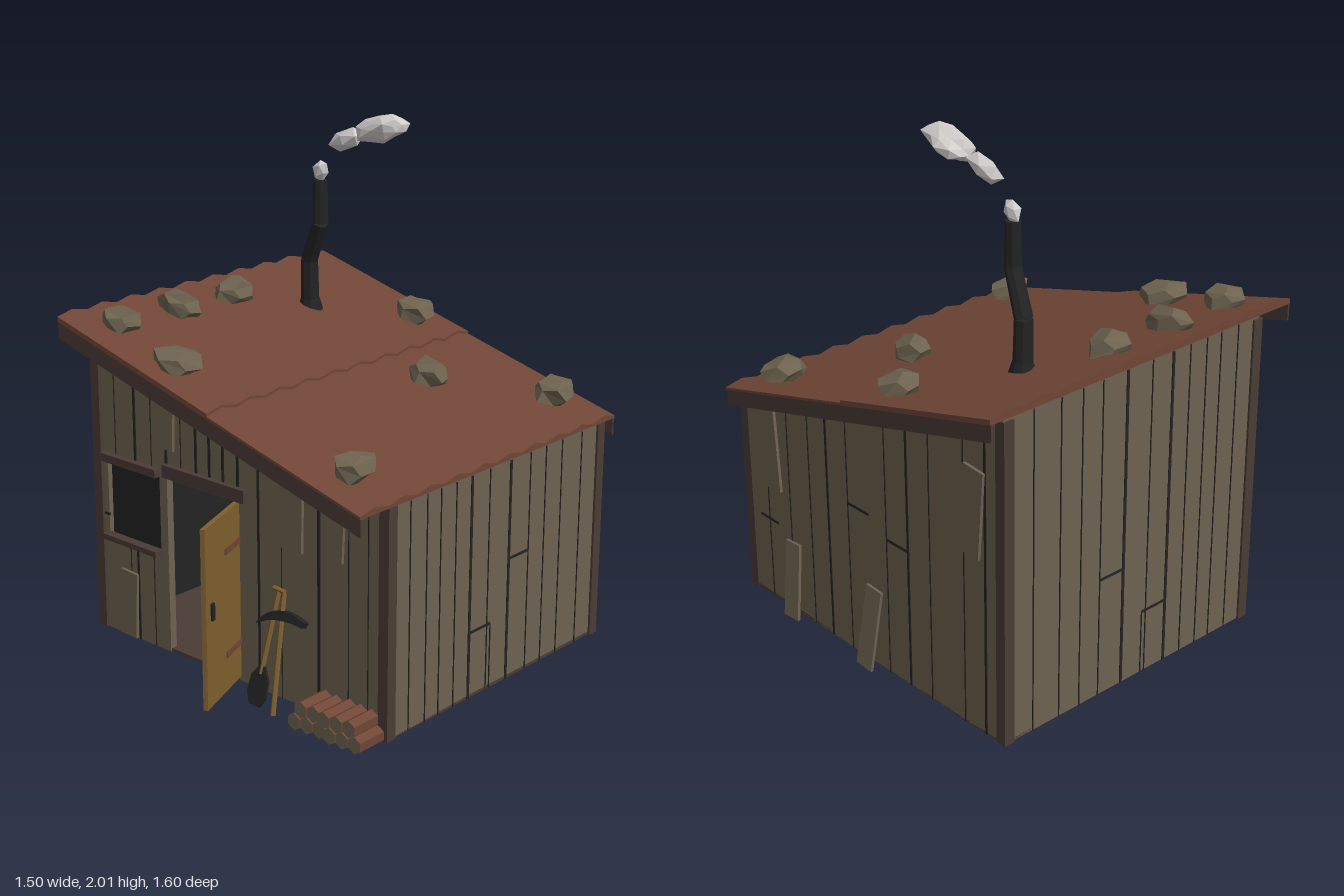
import * as THREE from 'three';

const mat = (name, color) => {
  const m = new THREE.MeshStandardMaterial({ color, flatShading: true });
  m.name = name;
  return m;
};
const SLOPE = 0.267;
const roofY = x => 1.066 - SLOPE * x; // underside of the roof

export function createModel() {
  const root = new THREE.Group();
  root.name = 'shack';
  const wood = mat('weathered wood', 0x6e6250);
  const trim = mat('dark trim', 0x4a3c36);
  const black = mat('soot black', 0x232324);
  const rust = mat('rusty red', 0x704636);
  const tan = mat('door wood', 0x80602f);
  const stone = mat('stone', 0x6c624e);
  const white = mat('smoke', 0xd0cecb);

  const add = (name, geo, m, parent = root, pos = [0, 0, 0], rot = [0, 0, 0]) => {
    const mesh = new THREE.Mesh(geo, m);
    mesh.name = name;
    mesh.position.set(...pos);
    mesh.rotation.set(...rot);
    parent.add(mesh);
    return mesh;
  };
  const box = (name, w, h, d, m, pos, parent, rot) =>
    add(name, new THREE.BoxGeometry(w, h, d), m, parent, pos, rot);
  const group = (name, pos, rot = [0, 0, 0]) => {
    const g = new THREE.Group();
    g.name = name;
    g.position.set(...pos);
    g.rotation.set(...rot);
    root.add(g);
    return g;
  };
  const poly = pts => new THREE.Shape(pts.map(p => new THREE.Vector2(...p)));
  const extrude = (shape, depth) => new THREE.ExtrudeGeometry(shape, { depth, bevelEnabled: false });
  // Tapered rod between two points
  const rod = (name, a, b, r0, r1, sides, m, parent) => {
    const p = new THREE.Vector3(...a), q = new THREE.Vector3(...b);
    const mesh = add(name, new THREE.CylinderGeometry(r1, r0, p.distanceTo(q), sides), m, parent);
    mesh.position.copy(p).add(q).multiplyScalar(0.5);
    mesh.quaternion.setFromUnitVectors(new THREE.Vector3(0, 1, 0), q.sub(p).normalize());
  };
  // Irregular faceted lump
  const lump = (name, geo, m, pos, size, seed, rot) => {
    const p = geo.attributes.position, v = new THREE.Vector3();
    for (let i = 0; i < p.count; i++) {
      v.fromBufferAttribute(p, i);
      const h = Math.sin(Math.round(v.x * 50) * 1.7 + Math.round(v.y * 50) * 2.9 + Math.round(v.z * 50) * 4.3 + seed * 7.1);
      v.multiplyScalar(0.98 + 0.14 * h);
      p.setXYZ(i, v.x * size[0], v.y * size[1], v.z * size[2]);
    }
    geo.computeVertexNormals();
    add(name, geo, m, root, pos, rot);
  };

  // Floor, walls and dark interior
  box('floor', 1.48, 0.012, 1.24, trim, [0, 0.006, -0.115]);
  const gable = poly([[-0.74, 0], [-0.35, 0], [-0.35, 0.715], [0.02, 0.715], [0.02, 0], [0.74, 0],
    [0.74, roofY(0.74)], [-0.74, roofY(-0.74)]]);
  gable.holes.push(new THREE.Path([[-0.68, 0.4], [-0.39, 0.4], [-0.39, 0.71], [-0.68, 0.71]].map(p => new THREE.Vector2(...p))));
  add('frontWall', extrude(gable, 0.03), wood, root, [0, 0, 0.48]);
  const solid = poly([[-0.74, 0], [0.74, 0], [0.74, roofY(0.74)], [-0.74, roofY(-0.74)]]);
  add('backWall', extrude(solid, 0.03), wood, root, [0, 0, -0.735]);
  add('backLining', extrude(solid, 0.005), black, root, [0, 0.013, -0.704]);
  for (const s of [-1, 1]) {
    const h = roofY(s * 0.74);
    box('sideWall', 0.03, h, 1.24, wood, [s * 0.725, h / 2, -0.115]);
    box('sideLining', 0.005, h - 0.03, 1.17, black, [s * 0.707, h / 2, -0.115]);
    for (const z of [0.5, -0.717]) {
      const top = roofY(s * 0.725) - 0.005;
      box('cornerPost', 0.044, top, 0.044, trim, [s * 0.727, top / 2, z]);
    }
  }
  box('windowPane', 0.3, 0.32, 0.006, black, [-0.535, 0.555, 0.487]);

  // Plank seams and nailed-on patch boards, laid out in each wall's own plane
  const faces = {
    front: group('frontPlanks', [0, 0, 0.51]),
    back: group('backPlanks', [0, 0, -0.735], [0, Math.PI, 0]),
    left: group('leftPlanks', [0.74, 0, 0], [0, Math.PI / 2, 0]),
    right: group('rightPlanks', [-0.74, 0, 0], [0, -Math.PI / 2, 0]),
  };
  const seam = (face, u, y0, y1, w) =>
    box('plankSeam', w, y1 - y0, 0.006, black, [u, (y0 + y1) / 2, 0], faces[face]);
  const ledge = (face, u, y, w) => box('plankJoint', w, 0.01, 0.006, black, [u, y, 0], faces[face]);
  const patch = (face, u, y, w, h, turn, lean = 0) =>
    box('patchBoard', w, h, 0.012, wood, [u, y, lean ? 0.03 : 0.008], faces[face], [lean, 0, turn]);

  for (const [x, y0, w] of [[-0.35, 0.74, 0.012], [-0.19, 0.76, 0.012], [-0.12, 0.76, 0.012], [-0.05, 0.76, 0.012],
    [0.025, 0.76, 0.012], [0.127, 0, 0.01], [0.24, 0, 0.003], [0.42, 0, 0.012], [0.56, 0, 0.003], [0.65, 0, 0.003],
    [-0.63, 0.73, 0.003], [-0.43, 0.73, 0.003], [-0.27, 0.76, 0.003], [-0.52, 0.73, 0.012]])
    seam('front', x, y0, roofY(x), w);
  for (const x of [-0.56, -0.52, -0.43]) seam('front', x, 0, 0.385, x === -0.52 ? 0.01 : 0.003);
  ledge('front', -0.692, 0.48, 0.03);
  patch('front', -0.35, 0.93, 0.105, 0.21, -0.04);
  patch('front', -0.57, 0.14, 0.09, 0.27, -0.05);
  patch('front', 0.295, 0.745, 0.11, 0.3, -0.02);
  patch('front', 0.5, 0.71, 0.085, 0.2, -0.05);

  for (const u of [0.65, 0.54, 0.36, 0.24, 0.12, -0.1, -0.22, -0.33, -0.46, -0.6])
    seam('back', u, 0, roofY(-u), Math.abs(u) % 0.2 < 0.06 ? 0.01 : 0.004);
  ledge('back', -0.6, 0.35, 0.11);
  ledge('back', 0.18, 0.56, 0.12);
  ledge('back', -0.04, 0.62, 0.12);
  patch('back', -0.56, 0.67, 0.09, 0.34, 0.06);
  patch('back', -0.43, 0.16, 0.085, 0.31, 0.07, -0.13);
  patch('back', 0.04, 0.165, 0.085, 0.33, -0.06, -0.13);
  patch('back', 0.59, 0.87, 0.1, 0.34, -0.08);

  for (const [face, s] of [['left', -1], ['right', 1]]) {
    const top = face === 'left' ? 0.86 : 1.26;
    for (const z of [0.4, 0.31, 0.235, 0.15, -0.04, -0.28, -0.375, -0.475, -0.6]) seam(face, s * z, 0, top, 0.004);
    for (const z of [0.063, -0.162]) seam(face, s * z, 0, top, 0.012);
    ledge(face, s * 0.002, 0.258, 0.12);
    ledge(face, s * -0.222, 0.48, 0.12);
    seam(face, s * -0.06, 0, 0.258, 0.004);
  }

  // Corrugated roof in two overlapping sheets
  const sheet = (x0, x1, lift) => {
    const pts = [[-0.67, 0], [0.8, 0]];
    for (let i = 0; i <= 20; i++) pts.push([0.8 - i * 0.0735, lift + (i % 2 ? 0.033 : 0.017)]);
    const g = extrude(poly(pts), x1 - x0).rotateY(Math.PI / 2).translate(x0, 0, 0);
    const p = g.attributes.position;
    for (let i = 0; i < p.count; i++) p.setY(i, p.getY(i) + 1.068 - SLOPE * p.getX(i));
    g.computeVertexNormals();
    add('roofSheet', g, rust);
  };
  sheet(-0.75, 0.035, 0.003);
  sheet(0.033, 0.75, -0.007);
  const board = poly([[-0.75, roofY(-0.75) - 0.063], [0.75, roofY(0.75) - 0.063], [0.75, roofY(0.75) + 0.004], [-0.75, roofY(-0.75) + 0.004]]);
  for (const z of [0.66, -0.796]) add('fasciaBoard', extrude(board, 0.008), trim, root, [0, 0, z]);

  // Stones weighing the roof down: x, z, half width, half depth
  [[-0.145, -0.675, 0.09, 0.09], [0.565, -0.66, 0.085, 0.105], [0.245, -0.3, 0.088, 0.08], [-0.57, -0.085, 0.072, 0.102],
    [-0.575, 0.21, 0.098, 0.062], [-0.575, 0.51, 0.074, 0.075], [-0.25, 0.54, 0.097, 0.092], [0.57, 0.5, 0.07, 0.1]]
    .forEach(([x, z, w, d], i) => lump('roofStone', new THREE.DodecahedronGeometry(1, 0), stone,
      [x, roofY(x) + 0.055, z], [w, 0.06, d], i + 1, [0, 0, -0.2]));

  // Bent stovepipe and smoke
  const bend = [[-0.4, 1.17, -0.335], [-0.4, 1.39, -0.33], [-0.32, 1.55, -0.307], [-0.32, 1.72, -0.307]];
  for (let i = 0; i < 3; i++) rod('stovepipe', bend[i], bend[i + 1], 0.037 - i * 0.003, 0.034 - i * 0.003, 8, black);
  rod('pipeCollar', [-0.4, 1.17, -0.335], [-0.4, 1.235, -0.335], 0.056, 0.036, 8, black);
  const puff = (pos, size, seed, tilt) =>
    lump('smokePuff', new THREE.IcosahedronGeometry(1, seed === 3 ? 1 : 0), white, pos, size, seed, [0, 0, tilt]);
  puff([-0.318, 1.757, -0.31], [0.034, 0.045, 0.028], 1, -0.35);
  puff([-0.21, 1.885, -0.335], [0.085, 0.04, 0.045], 2, 0.35);
  puff([-0.05, 1.941, -0.35], [0.118, 0.05, 0.07], 3, 0.25);

  // Window and door trim
  box('windowLintel', 0.31, 0.032, 0.04, trim, [-0.54, 0.72, 0.52]);
  box('windowSill', 0.3, 0.022, 0.04, trim, [-0.54, 0.395, 0.52]);
  box('doorLintel', 0.425, 0.05, 0.035, trim, [-0.138, 0.74, 0.517]);

  // Open door, swung outwards
  const door = group('door', [0.02, 0, 0.51], [0, -1.19, 0]);
  box('doorLeaf', 0.31, 0.69, 0.018, tan, [0.155, 0.365, 0], door);
  for (const y of [0.165, 0.565]) {
    box('hingeStrap', 0.13, 0.024, 0.008, rust, [0.075, y, -0.011], door);
    box('doorBatten', 0.27, 0.045, 0.01, tan, [0.155, y, 0.012], door);
  }
  for (const z of [-0.013, 0.013]) box('doorHandle', 0.018, 0.065, 0.012, black, [0.262, 0.385, z], door);

  // Shovel and pickaxe leaning on the wall
  const shovel = group('shovel', [0.22, 0, 0.635], [-0.26, 0, -0.05]);
  add('shovelBlade', extrude(poly([[-0.025, 0.01], [0.025, 0.01], [0.046, 0.05], [0.042, 0.115], [0.012, 0.16], [-0.012, 0.16],
    [-0.042, 0.115], [-0.046, 0.05]]), 0.01), black, shovel);
  rod('shovelHandle', [0, 0.13, 0.005], [0, 0.44, 0.005], 0.009, 0.009, 6, tan, shovel);
  rod('shovelGrip', [-0.028, 0.445, 0.005], [0.028, 0.445, 0.005], 0.009, 0.009, 6, tan, shovel);
  const pick = group('pickaxe', [0.31, 0, 0.635], [-0.24, 0, 0.09]);
  rod('pickHandle', [0, 0, 0], [0, 0.44, 0], 0.01, 0.009, 6, tan, pick);
  const head = new THREE.Shape();
  head.moveTo(-0.115, 0.315);
  head.quadraticCurveTo(-0.03, 0.42, 0.118, 0.355);
  head.lineTo(0.108, 0.335);
  head.quadraticCurveTo(-0.02, 0.36, -0.115, 0.315);
  add('pickHead', extrude(head, 0.024), black, pick, [0, 0, -0.012]);

  // Stacked firewood with bark sides and cut ends
  for (let row = 0; row < 2; row++)
    for (let i = 0; i < 6 - row; i++)
      add('firewoodLog', new THREE.CylinderGeometry(0.032, 0.032, 0.14 - ((i + row) % 3) * 0.008, 6), [rust, wood, wood],
        root, [0.442 + row * 0.028 + i * 0.055, 0.032 + row * 0.052, 0.596], [Math.PI / 2, 0, 0]);
  return root;
}
